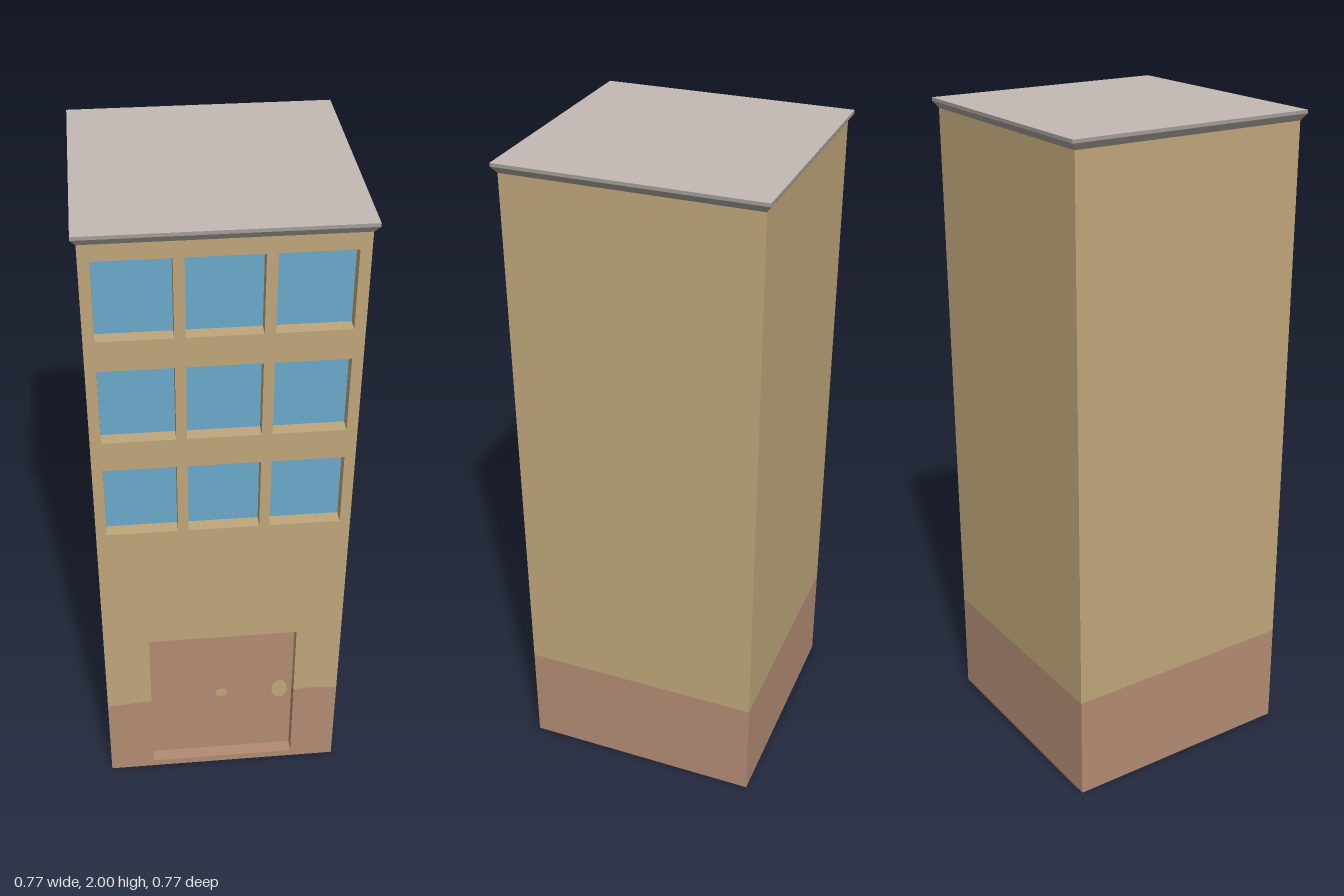
import * as THREE from 'three';

const material = (name, color) => {
  const m = new THREE.MeshStandardMaterial({ color, side: THREE.DoubleSide });
  m.name = name;
  return m;
};

export function createModel() {
  const group = new THREE.Group();
  const tan = material('tan wall', 0xbfa67a);
  const brown = material('clay base', 0xb28c73);
  const blue = material('window blue', 0x69a9c9);
  const roofGrey = material('roof grey', 0xc3b9b3);
  const trimGrey = material('trim grey', 0xa39d99);

  const W = 0.37, TOP = 1.97, BASE = 0.325, DEPTH = 0.04;

  const add = (name, geometry, mat, parent = group) => {
    const mesh = new THREE.Mesh(geometry, mat);
    mesh.name = name;
    parent.add(mesh);
    return mesh;
  };
  const polygon = (pts) => new THREE.Shape(pts.map(([x, y]) => new THREE.Vector2(x, y)));
  const rect = (x0, x1, y0, y1) => polygon([[x0, y0], [x1, y0], [x1, y1], [x0, y1]]);
  const face = (shape, z) => new THREE.ShapeGeometry(shape, 16).translate(0, 0, z);

  // Upright strip running back from the front wall at x
  const jamb = (x, y0, y1) =>
    new THREE.PlaneGeometry(DEPTH, y1 - y0).rotateY(x < 0 ? Math.PI / 2 : -Math.PI / 2)
      .translate(x, (y0 + y1) / 2, W - DEPTH / 2);
  // Level strip running back from the front wall at y
  const ledge = (x0, x1, y, up) =>
    new THREE.PlaneGeometry(x1 - x0, DEPTH).rotateX(up ? -Math.PI / 2 : Math.PI / 2)
      .translate((x0 + x1) / 2, y, W - DEPTH / 2);

  // Plain right, left and back walls, each with a clay base band
  [['left', Math.PI / 2], ['back', Math.PI], ['right', -Math.PI / 2]].forEach(([side, turn]) => {
    add(side + 'Wall', face(rect(-W, W, BASE, TOP), W).rotateY(turn), tan);
    add(side + 'Base', face(rect(-W, W, 0, BASE), W).rotateY(turn), brown);
  });

  // Front wall with door notch and window openings; its base line is uneven
  const D = { x: 0.23, y0: 0.025, y1: 0.585 };
  const leftLine = [[-W, 0.305], [-D.x, 0.317]];
  const rightLine = [[D.x, 0.325], [0.29, 0.328], [W, 0.32]];
  const frontWall = polygon([
    ...leftLine, [-D.x, D.y1], [D.x, D.y1], ...rightLine, [W, TOP], [-W, TOP],
  ]);
  const frontBase = polygon([
    [-W, 0], [W, 0], ...[...rightLine].reverse(),
    [D.x, D.y0], [-D.x, D.y0], ...[...leftLine].reverse(),
  ]);

  // Three rows of three recessed windows
  for (const y0 of [1.03, 1.36, 1.687]) {
    for (const xc of [-0.236, 0, 0.236]) {
      const x0 = xc - 0.103, x1 = xc + 0.103, y1 = y0 + 0.235;
      frontWall.holes.push(rect(x0, x1, y0, y1));
      const win = new THREE.Group();
      win.name = 'window';
      group.add(win);
      add('windowPane', face(rect(x0, x1, y0, y1), W - DEPTH), blue, win);
      add('windowSill', ledge(x0, x1, y0, true), tan, win);
      add('windowHead', ledge(x0, x1, y1, false), tan, win);
      for (const x of [x0, x1]) {
        const geo = jamb(x, y0, y1);
        add('windowJamb', geo, tan, win);
      }
    }
  }
  add('frontWall', face(frontWall, W), tan);
  add('frontBase', face(frontBase, W), brown);

  // Recessed door with two tan spots set into it
  const door = new THREE.Group();
  door.name = 'door';
  group.add(door);
  const doorShape = rect(-D.x, D.x, D.y0, D.y1);
  [[0, 0.29, 0.02, 0.018], [0.19, 0.29, 0.025, 0.04]].forEach(([x, y, rx, ry]) => {
    const spot = new THREE.Shape().absellipse(x, y, rx, ry, 0, Math.PI * 2, false, 0);
    doorShape.holes.push(spot);
    add('doorSpot', face(spot, W - DEPTH), tan, door);
  });
  add('doorPanel', face(doorShape, W - DEPTH), brown, door);
  add('doorSill', ledge(-D.x, D.x, D.y0, true), brown, door);
  add('doorHead', ledge(-D.x, D.x, D.y1, false), tan, door);
  for (const x of [-D.x, D.x]) {
    add('doorJambLower', jamb(x, D.y0, 0.32), brown, door);
    add('doorJambUpper', jamb(x, 0.32, D.y1), tan, door);
  }

  // Flared cornice under a flat roof
  const R = 0.384;
  const band = (r0, r1, y0, y1) => {
    const geo = new THREE.CylinderGeometry(r1 * Math.SQRT2, r0 * Math.SQRT2, y1 - y0, 4, 1, true)
      .rotateY(Math.PI / 4).translate(0, (y0 + y1) / 2, 0).toNonIndexed();
    geo.computeVertexNormals();
    return geo;
  };
  add('corniceFlare', band(W, R, TOP, 1.99), trimGrey);
  add('corniceEdge', band(R, R, 1.99, 2), trimGrey);
  add('roof', new THREE.PlaneGeometry(R * 2, R * 2).rotateX(-Math.PI / 2).translate(0, 2, 0), roofGrey);

  return group;
}
